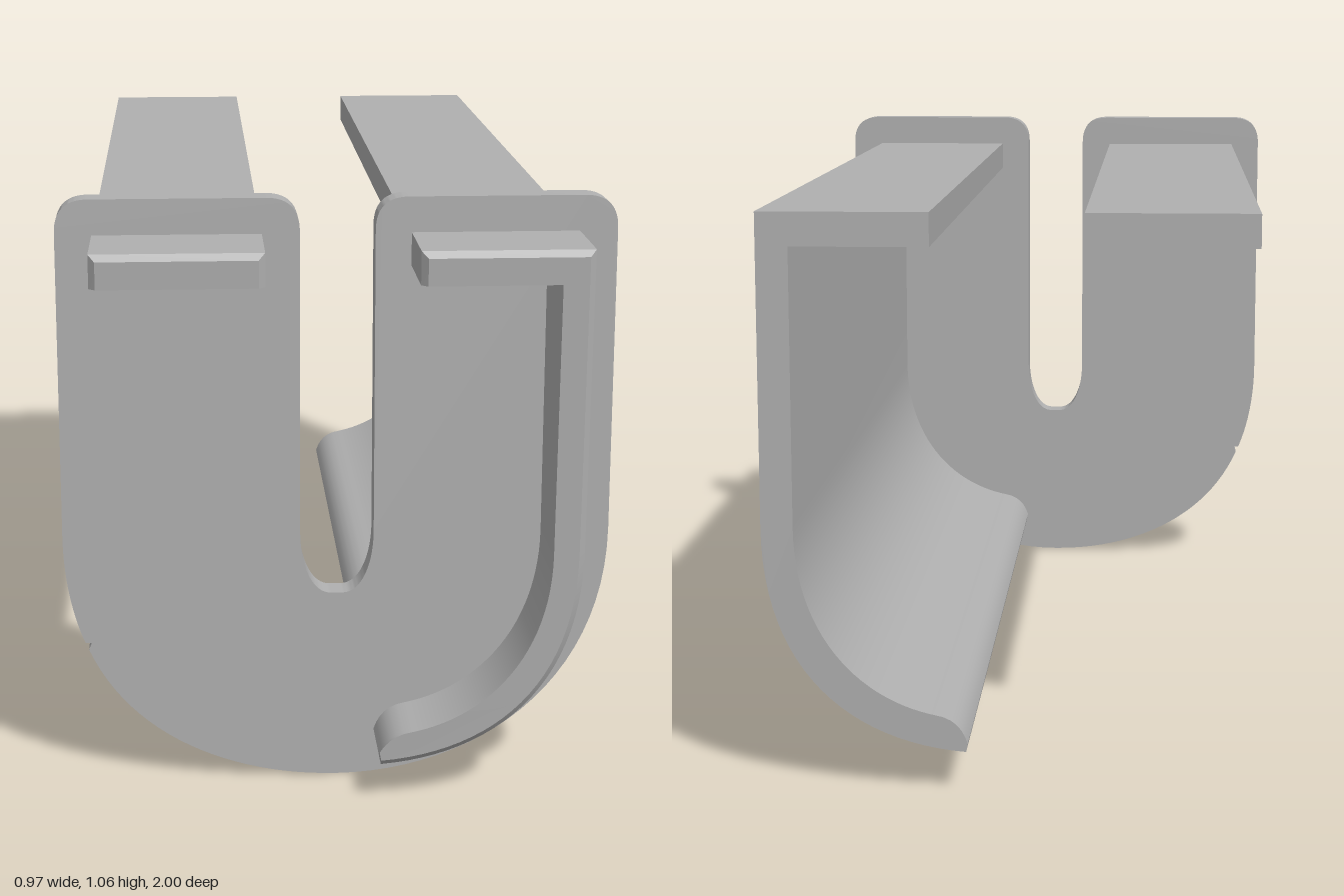
import * as THREE from 'three';
import { toCreasedNormals } from 'three/addons/utils/BufferGeometryUtils.js';

const V = (x, y) => new THREE.Vector2(x, y);
const bezier = (a, b, c, d, n = 24) => new THREE.CubicBezierCurve(a, b, c, d).getPoints(n);

// Flat bar profile; c insets the top and the ends
const barOutline = (c) => [
  V(-0.42 + c, 0.937), V(-0.13 - c, 0.937), V(-0.13 - c, 0.995 - c), V(-0.42 + c, 0.995 - c),
];

// Hooked rail profile; c insets the outer side
const railOutline = (c) => [
  V(0.127 + c, 0.937), V(0.127 + c, 0.995 - c), V(0.417 - c, 0.995 - c),
  ...bezier(V(0.417 - c, 0.46), V(0.417 - c, 0.21 + c), V(0.27, 0.085 + c), V(0.07, 0.07 + c)),
  ...bezier(V(0.067, 0.085 + c), V(0.075, 0.11), V(0.09, 0.13), V(0.125, 0.135), 6),
  ...bezier(V(0.13, 0.136), V(0.26, 0.165), V(0.362, 0.28), V(0.362, 0.46)),
  V(0.362, 0.937),
];

// Long extrusion with a slightly raked front end and a chamfered front rim
function beam(outline) {
  const base = outline(0), rim = outline(0.011);
  let geo = new THREE.ExtrudeGeometry(new THREE.Shape(base), { depth: 2, steps: 2, bevelEnabled: false });
  const p = geo.attributes.position;
  for (let i = 0; i < p.count; i++) {
    const x = p.getX(i), y = p.getY(i), z = p.getZ(i);
    const front = 1 - (0.995 - y) * 0.047;
    if (z < 0.5) p.setZ(i, -1);
    else if (z < 1.5) p.setZ(i, front - 0.011);
    else {
      const k = base.findIndex((q) => Math.hypot(q.x - x, q.y - y) < 1e-5);
      p.setXYZ(i, rim[k].x, rim[k].y, front);
    }
  }
  return toCreasedNormals(geo, 0.5);
}

// U-shaped end plate with rounded shoulders and a small nick on one edge
function plateGeometry() {
  const W = 0.483, S = 0.065, T = 1.057, R = 0.058;
  const s = new THREE.Shape();
  s.moveTo(0, 0);
  s.bezierCurveTo(0.25, 0, W, 0.16, W, 0.46);
  s.lineTo(W, T - R);
  s.quadraticCurveTo(W, T, W - R, T);
  s.lineTo(S + R, T);
  s.quadraticCurveTo(S, T, S, T - R);
  s.lineTo(S, 0.46);
  s.bezierCurveTo(S, 0.4, 0.045, 0.346, 0.01, 0.346);
  s.lineTo(-0.01, 0.346);
  s.bezierCurveTo(-0.045, 0.346, -S, 0.4, -S, 0.46);
  s.lineTo(-S, T - R);
  s.quadraticCurveTo(-S, T, -S - R, T);
  s.lineTo(-W + R, T);
  s.quadraticCurveTo(-W, T, -W, T - R);
  s.lineTo(-W, 0.46);
  s.bezierCurveTo(-W, 0.38, -0.468, 0.31, -0.447, 0.26);
  s.lineTo(-0.436, 0.26);
  s.lineTo(-0.441, 0.247);
  s.bezierCurveTo(-0.37, 0.08, -0.19, 0, 0, 0);
  const geo = new THREE.ExtrudeGeometry(s, { depth: 0.05, bevelEnabled: false, curveSegments: 24 });
  geo.translate(0, 0, 0.772);
  return toCreasedNormals(geo, 0.5);
}

export function createModel() {
  const grey = new THREE.MeshStandardMaterial({ color: 0xb0b0b0 });
  grey.name = 'grey';
  const group = new THREE.Group();
  group.name = 'slottedRail';
  const parts = { endPlate: plateGeometry(), flatBar: beam(barOutline), hookedRail: beam(railOutline) };
  for (const [name, geo] of Object.entries(parts)) {
    const mesh = new THREE.Mesh(geo, grey);
    mesh.name = name;
    group.add(mesh);
  }
  return group;
}
